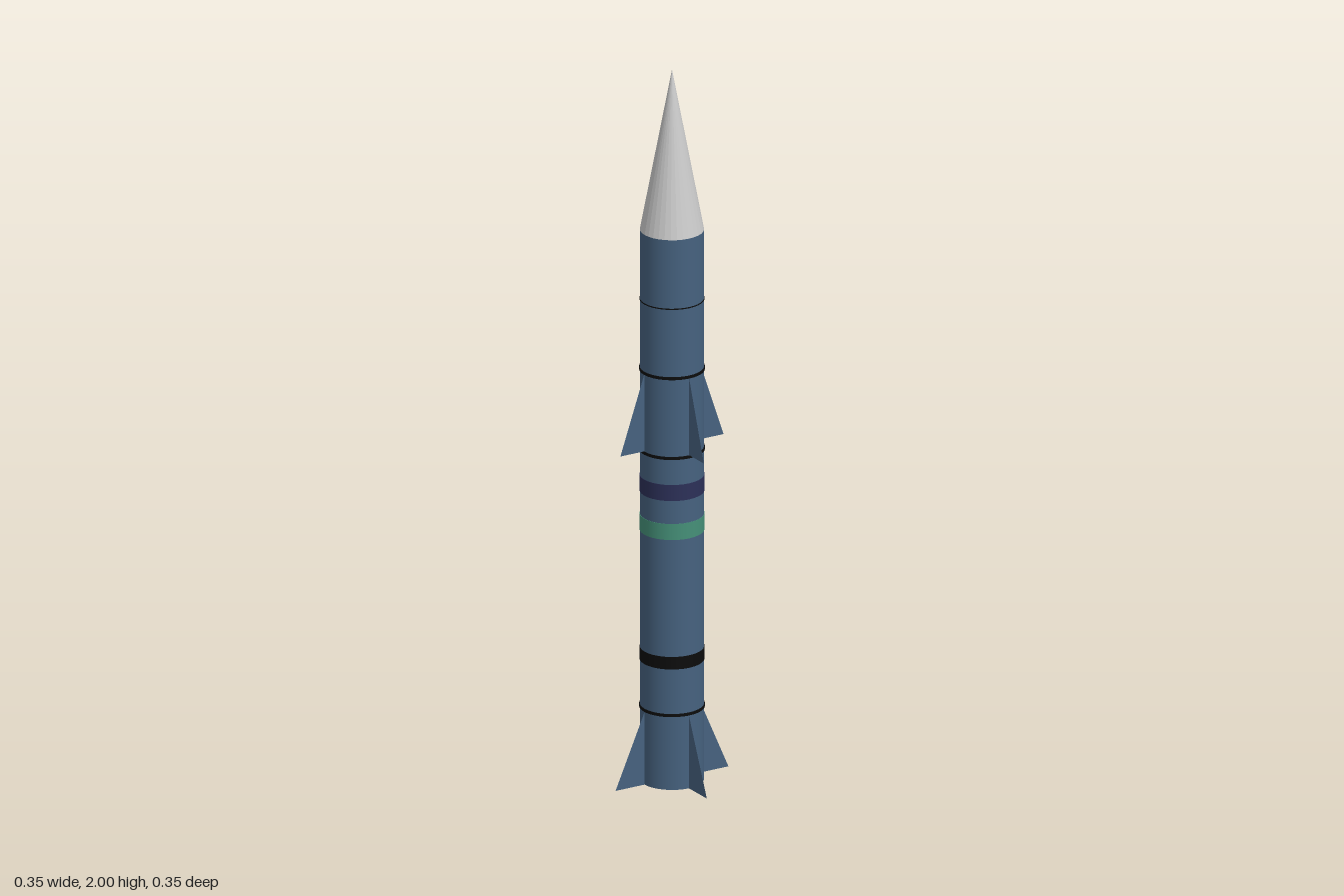
import * as THREE from 'three';

const R = 0.085;
const SIDES = 32;

const paint = (color, extra = {}) => new THREE.MeshStandardMaterial({ color, ...extra });

export function createModel() {
  const model = new THREE.Group();
  const blue = paint(0x46627f);
  const finBlue = paint(0x46627f, { side: THREE.DoubleSide });
  const black = paint(0x0c0c0c);

  const add = (name, geometry, material, y) => {
    const mesh = new THREE.Mesh(geometry, material);
    mesh.name = name;
    mesh.position.y = y;
    model.add(mesh);
    return mesh;
  };

  // Upright cylinder between two heights
  const tube = (name, y0, y1, radius, material, open = false) =>
    add(name, new THREE.CylinderGeometry(radius, radius, y1 - y0, SIDES, 1, open), material, (y0 + y1) / 2);

  // Body sections, stacked
  tube('tailSection', 0, 0.21, R, blue);
  tube('boosterSection', 0.21, 0.94, R, blue);
  tube('wingSection', 0.94, 1.16, R, blue);
  tube('guidanceSection', 1.16, 1.355, R, blue);
  tube('forwardSection', 1.355, 1.55, R, blue);

  // Pointed nose
  add('noseCone', new THREE.ConeGeometry(R, 0.45, SIDES), paint(0xcccccc, { flatShading: true }), 1.775);

  // Painted bands
  tube('navyBand', 0.815, 0.86, R + 0.001, paint(0x2c3058));
  tube('greenBand', 0.705, 0.75, R + 0.001, paint(0x459078));
  tube('blackBand', 0.34, 0.375, R + 0.001, black);

  // Thin joint rings
  for (const y of [0.21, 0.935, 1.16]) tube('jointRing', y - 0.004, y + 0.004, R + 0.002, black);
  tube('seamRing', 1.354, 1.357, R + 0.001, black);

  // Four thin triangular fins around the body
  const finSet = (name, y0, y1, reach) => {
    const shape = new THREE.Shape([
      new THREE.Vector2(R - 0.003, 0),
      new THREE.Vector2(reach, 0),
      new THREE.Vector2(R, y1 - y0),
      new THREE.Vector2(R - 0.003, y1 - y0),
    ]);
    const geometry = new THREE.ShapeGeometry(shape);
    for (let i = 0; i < 4; i++) {
      add(name, geometry, finBlue, y0).rotation.y = (i * Math.PI) / 2;
    }
  };
  finSet('tailFin', 0, 0.205, 0.175);
  finSet('midFin', 0.94, 1.16, 0.16);

  return model;
}
